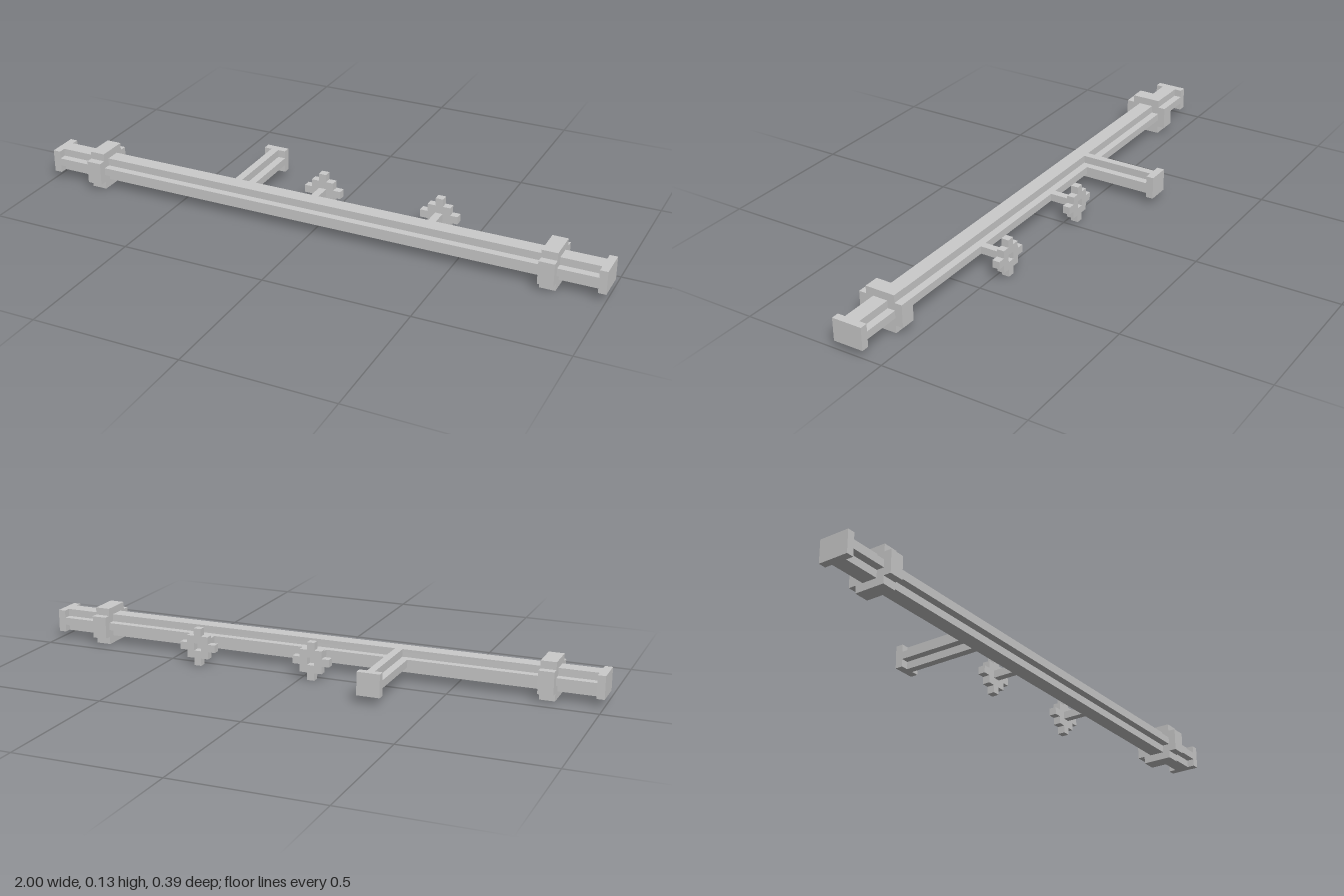
import * as THREE from 'three';

const U = 2 / 76; // the whole model sits on a grid of this step
const Y = 2.5 * U; // height of the centre line
const BEAM_Z = 4.5 * U; // depth of the main beam's axis

export function createModel() {
  const group = new THREE.Group();
  const mat = new THREE.MeshStandardMaterial({ color: 0xcccccc, flatShading: true });

  const add = (name, geometry, x, z) => {
    const mesh = new THREE.Mesh(geometry, mat);
    mesh.name = name;
    mesh.position.set(x, Y, z);
    group.add(mesh);
    return mesh;
  };
  const box = (name, w, h, d, x, z) =>
    add(name, new THREE.BoxGeometry(w * U, h * U, d * U), x, z);

  // Plus outline: half sizes w, h with square corners of size c cut away
  const plus = (w, h, cx, cy = cx) => {
    const quarter = [[w, h - cy], [w - cx, h - cy], [w - cx, h]];
    const mirrored = quarter.map(([x, y]) => [-x, y]).reverse();
    const top = [...quarter, ...mirrored];
    const all = [...top, ...top.map(([x, y]) => [-x, -y])];
    return new THREE.Shape(all.map(([x, y]) => new THREE.Vector2(x * U, y * U)));
  };
  // Extrusion centred on its own length, running along z
  const bar = (shape, length) =>
    new THREE.ExtrudeGeometry(shape, { depth: length * U, bevelEnabled: false })
      .translate(0, 0, -length * U / 2);

  // Main beam, ribbed, running along x
  add('beam', bar(plus(2, 1.5, 1), 74).rotateY(Math.PI / 2), 0, BEAM_Z);

  // End caps and stepped collars at both ends
  for (const s of [-1, 1]) {
    const side = s > 0 ? 'left' : 'right';
    box(side + 'EndCap', 1, 3, 4, s * 37.5 * U, BEAM_Z);
    add(side + 'Collar', bar(plus(3, 2.5, 1), 2).rotateY(Math.PI / 2), s * 31 * U, BEAM_Z);
  }

  // Ribbed arm reaching to the back, with its cap
  const armX = -11.5 * U;
  add('arm', bar(plus(1.5, 1.5, 1), 10), armX, -1.5 * U);
  box('armCap', 3, 3, 1, armX, -7 * U);

  // Two valve wheels on short stems, each with four teeth and a centre hole
  for (const x of [-1.5 * U, 14.5 * U]) {
    box('valveStem', 1, 1, 3, x, U);
    const wheel = new THREE.Shape();
    const tooth = [[1.5, -0.5], [2.5, -0.5], [2.5, 0.5], [1.5, 0.5], [1.5, 1.5]];
    const points = [];
    for (let i = 0; i < 4; i++) {
      for (const [a, b] of tooth) {
        points.push(new THREE.Vector2(a * U, b * U)
          .rotateAround(new THREE.Vector2(), i * Math.PI / 2));
      }
    }
    wheel.setFromPoints(points);
    const h = U / 2;
    wheel.holes.push(new THREE.Path([[-h, -h], [-h, h], [h, h], [h, -h]]
      .map(([a, b]) => new THREE.Vector2(a, b))));
    add('valveWheel', bar(wheel, 1), x, -U);
  }

  return group;
}
